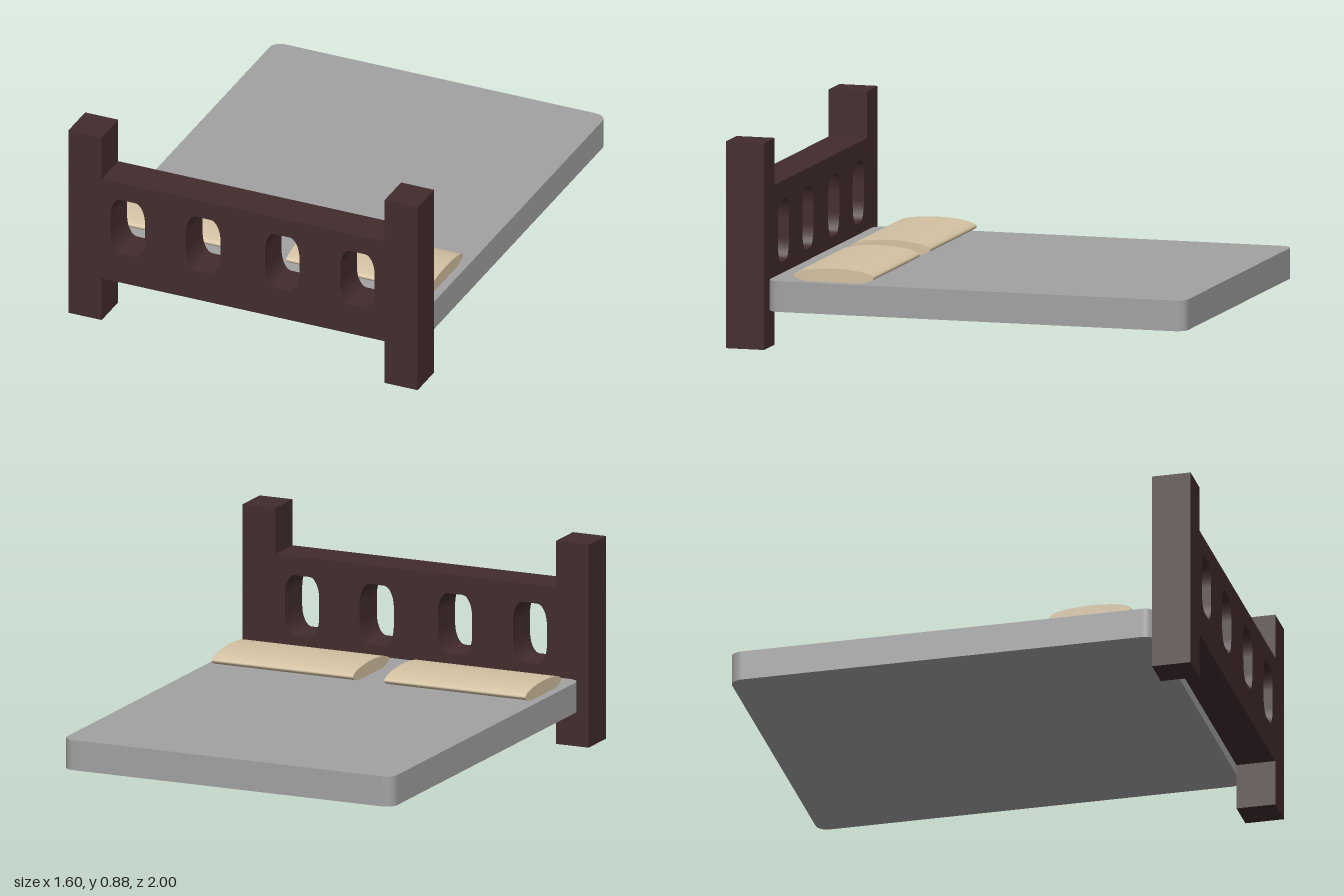
import * as THREE from 'three';

const wood = new THREE.MeshStandardMaterial({ color: 0x432c2d });
wood.name = 'dark wood';
const grey = new THREE.MeshStandardMaterial({ color: 0xa2a2a2 });
grey.name = 'grey fabric';
const cream = new THREE.MeshStandardMaterial({ color: 0xd3c1a2 });
cream.name = 'cream linen';

// Rectangle with elliptical corners, centred on (cx, cy)
function roundedRect(path, cx, cy, halfW, halfH, rx, ry) {
  const x = halfW - rx, y = halfH - ry, q = Math.PI / 2;
  [[x, y], [-x, y], [-x, -y], [x, -y]].forEach(([dx, dy], i) =>
    path.absellipse(cx + dx, cy + dy, rx, ry, i * q, (i + 1) * q, false, 0));
  path.closePath();
  return path;
}

function addMesh(group, name, geometry, material, x = 0, y = 0, z = 0) {
  const mesh = new THREE.Mesh(geometry, material);
  mesh.name = name;
  mesh.position.set(x, y, z);
  group.add(mesh);
  return mesh;
}

export function createModel() {
  const bed = new THREE.Group();
  bed.name = 'bed';
  const depth = 0.167, headZ = 1 - depth;

  // Headboard panel with four oval openings
  const panel = new THREE.Shape();
  panel.moveTo(-0.65, 0.2).lineTo(0.65, 0.2).lineTo(0.65, 0.677).lineTo(-0.65, 0.677).closePath();
  for (const x of [-0.53, -0.183, 0.18, 0.526]) {
    panel.holes.push(roundedRect(new THREE.Path(), x, 0.466, 0.079, 0.13, 0.046, 0.09));
  }
  addMesh(bed, 'headboardPanel',
    new THREE.ExtrudeGeometry(panel, { depth, bevelEnabled: false, curveSegments: 10 }), wood, 0, 0, headZ);

  // Mattress: a slab rounded in plan
  const slab = roundedRect(new THREE.Shape(), 0, 0, 0.765, 0.916, 0.05, 0.05);
  const mattress = new THREE.ExtrudeGeometry(slab, { depth: 0.13, bevelEnabled: false, curveSegments: 8 });
  mattress.rotateX(-Math.PI / 2);
  addMesh(bed, 'mattress', mattress, grey, 0, 0.158, -0.084);

  // Posts and pillows, one of each per side
  const pillow = new THREE.CylinderGeometry(1, 1, 0.655, 40);
  pillow.rotateZ(Math.PI / 2).scale(1, 0.034, 0.175);
  for (const [side, s] of [['left', 1], ['right', -1]]) {
    addMesh(bed, side + 'Post', new THREE.BoxGeometry(0.152, 0.876, depth), wood,
      s * 0.726, 0.438, 1 - depth / 2);
    addMesh(bed, side + 'Pillow', pillow, cream, s * 0.4, 0.313, 0.55);
  }
  return bed;
}
